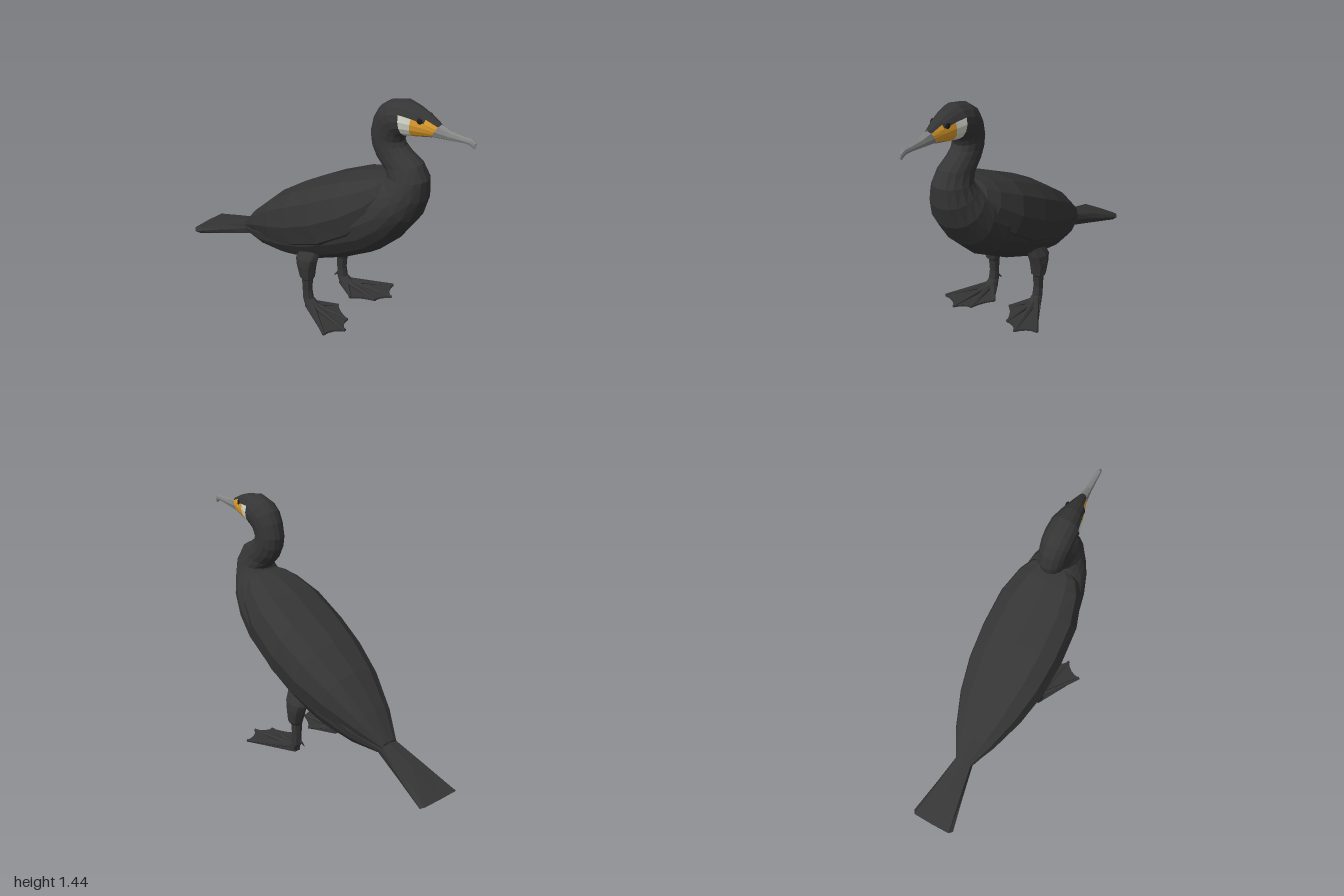
import * as THREE from 'three';

const mat = (name, color) => {
  const m = new THREE.MeshStandardMaterial({ color, flatShading: true });
  m.name = name;
  return m;
};

// Skin over closed rings. Station: [topZ, topY, bottomZ, bottomY, halfWidth, centreX].
// power below 1 makes rings boxier; paint(i, j) picks the material of each quad.
function loft(name, stations, materials, { seg = 16, power = 1, paint = () => 0 } = {}) {
  const bend = (v) => (Math.abs(v) < 1e-9 ? 0 : Math.sign(v) * Math.pow(Math.abs(v), power));
  const rings = stations.map(([tz, ty, bz, by, w, cx = 0]) => {
    const ring = [];
    for (let j = 0; j < seg; j++) {
      const a = (j / seg) * Math.PI * 2;
      const c = bend(Math.cos(a)), s = bend(Math.sin(a));
      ring.push([cx + w * s, (ty + by) / 2 + ((ty - by) / 2) * c, (tz + bz) / 2 + ((tz - bz) / 2) * c]);
    }
    return ring;
  });
  const buckets = materials.map(() => []);
  for (let i = 0; i < rings.length - 1; i++) {
    for (let j = 0; j < seg; j++) {
      const k = (j + 1) % seg;
      const A = rings[i][j], B = rings[i][k], C = rings[i + 1][j], D = rings[i + 1][k];
      buckets[paint(i, j)].push(...A, ...C, ...B, ...B, ...C, ...D);
    }
  }
  // end caps
  const centre = ([tz, ty, bz, by, , cx = 0]) => [cx, (ty + by) / 2, (tz + bz) / 2];
  const first = rings[0], last = rings[rings.length - 1];
  const c0 = centre(stations[0]), c1 = centre(stations[stations.length - 1]);
  for (let j = 0; j < seg; j++) {
    const k = (j + 1) % seg;
    buckets[0].push(...c0, ...first[j], ...first[k]);
    buckets[paint(rings.length - 2, j)].push(...c1, ...last[k], ...last[j]);
  }
  const geo = new THREE.BufferGeometry();
  let start = 0;
  buckets.forEach((b, m) => {
    geo.addGroup(start, b.length / 3, m);
    start += b.length / 3;
  });
  geo.setAttribute('position', new THREE.Float32BufferAttribute(buckets.flat(), 3));
  geo.computeVertexNormals();
  const mesh = new THREE.Mesh(geo, materials.length > 1 ? materials : materials[0]);
  mesh.name = name;
  return mesh;
}

// Tapered rod between two points
function rod(name, from, to, r0, r1, material) {
  const a = new THREE.Vector3(...from), b = new THREE.Vector3(...to);
  const dir = b.clone().sub(a);
  const mesh = new THREE.Mesh(new THREE.CylinderGeometry(r1, r0, dir.length(), 6), material);
  mesh.position.copy(a).add(b).multiplyScalar(0.5);
  mesh.quaternion.setFromUnitVectors(new THREE.Vector3(0, 1, 0), dir.normalize());
  mesh.name = name;
  return mesh;
}

export function createModel() {
  const model = new THREE.Group();
  model.name = 'waterBird';
  const black = mat('plumageBlack', 0x353535);
  const grey = mat('billGrey', 0x858585);
  const orange = mat('faceOrange', 0xdc9c2c);
  const white = mat('cheekWhite', 0xd2d4c8);
  const dark = mat('eyeDark', 0x1c1c1c);

  // Torso, from rump to the base of the neck
  const torso = [
    [-0.61, 0.28, -0.6, 0.21, 0.05],
    [-0.4, 0.46, -0.4, 0.2, 0.14],
    [-0.15, 0.66, -0.21, 0.215, 0.2],
    [0.05, 0.78, 0, 0.265, 0.222],
    [0.22, 0.88, 0.25, 0.38, 0.226],
    [0.38, 0.94, 0.435, 0.49, 0.214],
    [0.45, 0.96, 0.57, 0.62, 0.193],
    [0.47, 0.98, 0.675, 0.77, 0.165],
    [0.48, 0.99, 0.72, 0.9, 0.132],
    [0.485, 1.0, 0.725, 1.02, 0.105],
  ];
  // Neck and head, up to the brow
  const neckHead = [
    [0.455, 1.03, 0.685, 1.105, 0.086],
    [0.4, 1.085, 0.61, 1.148, 0.079],
    [0.37, 1.145, 0.572, 1.175, 0.078],
    [0.36, 1.215, 0.558, 1.2, 0.079],
    [0.38, 1.305, 0.565, 1.222, 0.083],
    [0.415, 1.37, 0.57, 1.233, 0.087],
    [0.475, 1.415, 0.575, 1.24, 0.089],
    [0.57, 1.44, 0.585, 1.245, 0.086],
    [0.65, 1.425, 0.63, 1.255, 0.069],
    [0.72, 1.4, 0.69, 1.268, 0.05],
    [0.79, 1.365, 0.74, 1.28, 0.029],
  ];
  const cheek = torso.length + 7;
  const facePaint = (i, j) => {
    const d = Math.min(j, 15 - j); // 0 at the crown, 7 at the chin
    if (i === cheek) return d >= 3 ? 1 : 0;
    if (i === cheek + 1) return d >= 3 ? 2 : 0;
    if (i === cheek + 2) return d >= 6 ? 3 : d >= 2 ? 2 : 0;
    return 0;
  };
  model.add(loft('bodyNeckHead', [...torso, ...neckHead], [black, white, orange, grey], { paint: facePaint }));

  // Hooked bill
  model.add(loft('bill', [
    [0.77, 1.372, 0.73, 1.279, 0.031],
    [0.85, 1.346, 0.84, 1.293, 0.019],
    [0.93, 1.34, 0.92, 1.304, 0.014],
    [0.975, 1.34, 0.955, 1.304, 0.013],
    [0.995, 1.325, 0.975, 1.298, 0.01],
    [1.0, 1.3, 0.985, 1.288, 0.005],
  ], [grey], { seg: 8 }));

  // Folded wings, a flat-backed shell over the torso
  model.add(loft('foldedWings', [
    [-0.6, 0.295, -0.595, 0.25, 0.055],
    [-0.48, 0.435, -0.44, 0.28, 0.13],
    [-0.3, 0.605, -0.23, 0.3, 0.205],
    [-0.12, 0.73, -0.03, 0.345, 0.248],
    [0.05, 0.83, 0.19, 0.435, 0.262],
    [0.25, 0.928, 0.38, 0.57, 0.25],
    [0.4, 0.978, 0.51, 0.72, 0.2],
    [0.47, 0.992, 0.55, 0.83, 0.15],
    [0.5, 0.995, 0.56, 0.9, 0.09],
  ], [black], { seg: 12, power: 0.8 }));

  // Fanned tail
  model.add(loft('tail', [
    [-1.0, 0.125, -0.95, 0.095, 0.137],
    [-0.78, 0.215, -0.76, 0.15, 0.092],
    [-0.56, 0.3, -0.56, 0.21, 0.05],
  ], [black], { seg: 8, power: 0.4 }));

  for (const s of [1, -1]) {
    const side = s > 0 ? 'left' : 'right';

    // Eye
    const eye = new THREE.Mesh(new THREE.SphereGeometry(0.016, 10, 8), dark);
    eye.scale.x = 0.4;
    eye.position.set(s * 0.05, 1.368, 0.69);
    eye.rotation.y = s * -0.25;
    eye.name = side + 'Eye';
    model.add(eye);

    // Leg, thigh down to heel
    const leg = new THREE.Group();
    leg.name = side + 'Leg';
    leg.add(loft('shank', [
      [0.11, 0.4, -0.04, 0.38, 0.04, s * 0.14],
      [0.1, 0.345, -0.055, 0.33, 0.055, s * 0.156],
      [0.085, 0.29, -0.04, 0.29, 0.053, s * 0.163],
      [0.075, 0.21, -0.015, 0.21, 0.044, s * 0.165],
      [0.06, 0.195, -0.008, 0.19, 0.032, s * 0.16],
      [0.055, 0.12, -0.005, 0.12, 0.028, s * 0.16],
      [0.065, 0.065, 0, 0.05, 0.03, s * 0.16],
      [0.11, 0.035, 0.02, 0.003, 0.038, s * 0.16],
    ], [black], { seg: 8 }));

    // Webbed foot with scalloped edge
    const tips = [[0.055, 0.18], [0.13, 0.31], [0.22, 0.365], [0.33, 0.298]];
    const shape = new THREE.Shape();
    shape.moveTo(s * 0.14, 0.02);
    tips.forEach(([x, z], i) => {
      if (i === 0) return shape.lineTo(s * x, z);
      const [px, pz] = tips[i - 1];
      const mx = 0.16 + ((x + px) / 2 - 0.16) * 0.88, mz = 0.03 + ((z + pz) / 2 - 0.03) * 0.88;
      shape.quadraticCurveTo(s * mx, mz, s * x, z);
    });
    shape.lineTo(s * 0.18, 0.02);
    const webGeo = new THREE.ExtrudeGeometry(shape, { depth: 0.012, bevelEnabled: false, curveSegments: 4 });
    webGeo.rotateX(Math.PI / 2);
    const web = new THREE.Mesh(webGeo, black);
    web.position.y = 0.014;
    web.name = 'web';
    leg.add(web);
    for (const [x, z] of tips) leg.add(rod('toe', [s * 0.16, 0.026, 0.05], [s * x, 0.011, z], 0.021, 0.009, black));
    leg.add(rod('spur', [s * 0.15, 0.075, 0.01], [s * 0.14, 0.045, -0.022], 0.012, 0.002, black));
    model.add(leg);
  }
  return model;
}
